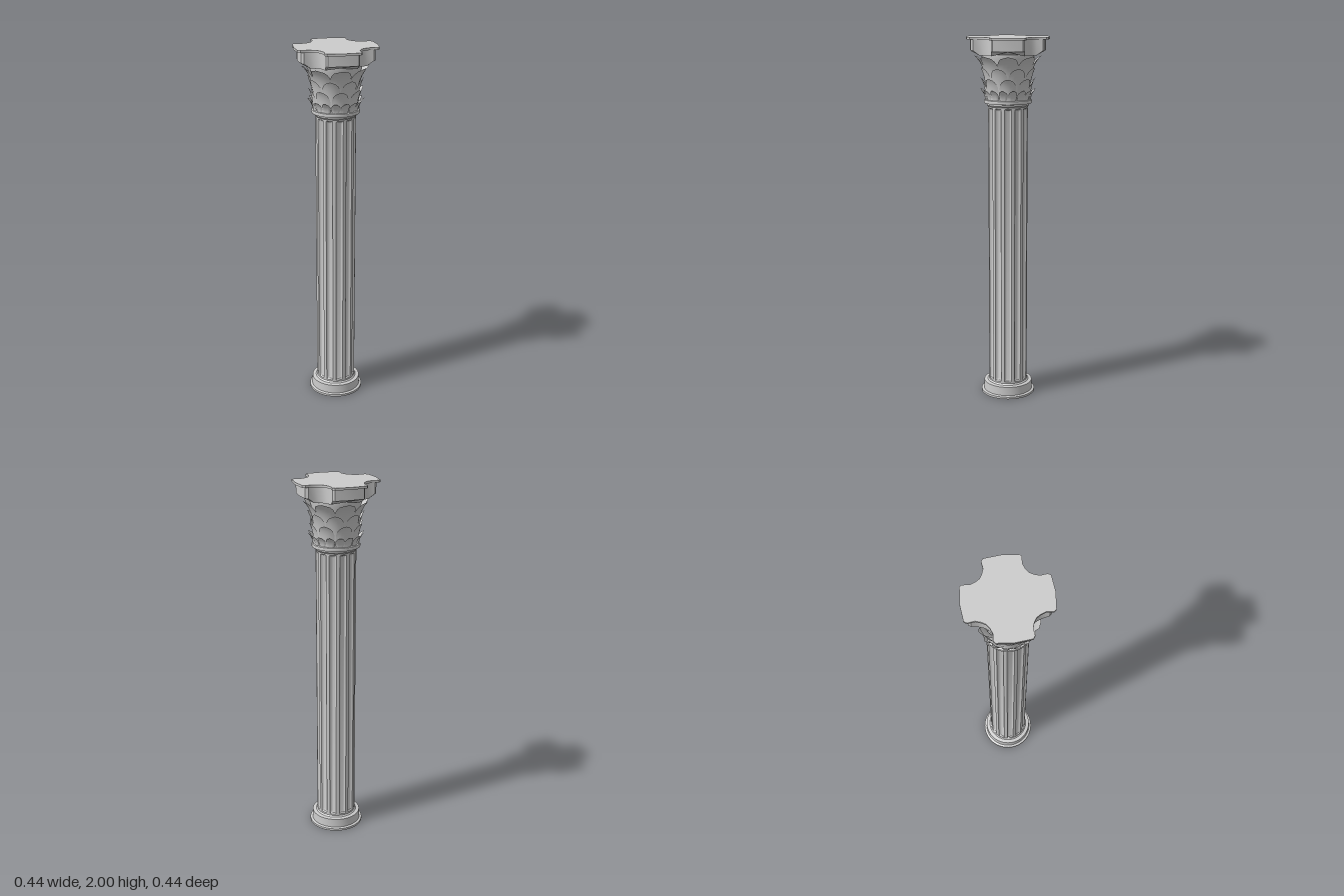
import * as THREE from 'three';
import { toCreasedNormals } from 'three/addons/utils/BufferGeometryUtils.js';

const material = new THREE.MeshStandardMaterial({ color: 0xcccccc, side: THREE.DoubleSide });

function addMesh(parent, name, geometry, crease = 0.6) {
  const mesh = new THREE.Mesh(toCreasedNormals(geometry, crease), material);
  mesh.name = name;
  parent.add(mesh);
  return mesh;
}

const lathe = (pts) =>
  new THREE.LatheGeometry(pts.map(([r, y]) => new THREE.Vector2(r, y)), 48);

// Shaft: a cylinder whose rows are pressed inward along twelve flutes
function shaftGeometry() {
  const flutes = 12, perFlute = 12, radius = 0.108;
  const rows = [[0.06, 0], [0.085, 0], [0.09, 0.65], [0.102, 1],
    [1.608, 1], [1.62, 0.65], [1.625, 0], [1.632, 0]];
  const n = flutes * perFlute;
  const geometry = new THREE.CylinderGeometry(1, 1, 1, n, rows.length - 1, true);
  const pos = geometry.attributes.position;
  for (let i = 0; i < pos.count; i++) {
    const row = rows.length - 1 - Math.floor(i / (n + 1));
    const col = i % (n + 1);
    const [y, depth] = rows[row];
    let t = (col % perFlute) / perFlute;
    if (t > 0.5) t -= 1;
    const s = Math.min(1, Math.abs(t) * 3);
    const r = radius - 0.013 * depth * Math.sqrt(1 - s * s);
    const a = (col / n) * Math.PI * 2;
    pos.setXYZ(i, r * Math.sin(a), y, r * Math.cos(a));
  }
  return geometry;
}

// Leaf: a curved sheet that hugs the bell, then curls outward to a tip
function leafGeometry({ y0, y1, r0, r1, half, curl, blunt }) {
  const geometry = new THREE.PlaneGeometry(2, 1, 6, 10);
  const pos = geometry.attributes.position;
  for (let i = 0; i < pos.count; i++) {
    const u = pos.getX(i), v = pos.getY(i) + 0.5;
    const taper = v < 0.45 ? 0.8 + 0.2 * Math.sin((v / 0.45) * Math.PI / 2)
      : Math.pow(Math.max(0, 1 - Math.pow((v - 0.45) / 0.55, 2)), blunt);
    const r = r0 + (r1 - r0) * (0.25 * v + 0.75 * Math.pow(v, curl)) + 0.006 * (1 - u * u) * (1 - v);
    const a = u * half * taper;
    pos.setXYZ(i, r * Math.sin(a), y0 + (y1 - y0) * (1 - Math.pow(1 - v, 1.15)), r * Math.cos(a));
  }
  return geometry;
}

function leafRow(parent, name, count, offset, options) {
  const row = new THREE.Group();
  row.name = name;
  for (let i = 0; i < count; i++) {
    const leaf = addMesh(row, 'leaf', leafGeometry(options), 1.0);
    leaf.rotation.y = ((i + offset) / count) * Math.PI * 2;
  }
  parent.add(row);
}

// Abacus outline: one arm with its concave corner, turned four times
function crossShape(scale) {
  const arm = [[0.222, 0], [0.215, 0.086], [0.2, 0.096], [0.163, 0.092],
    [0.135, 0.102], [0.115, 0.115], [0.102, 0.135], [0.092, 0.163], [0.096, 0.2], [0.086, 0.212]];
  const pts = [];
  for (let k = 0; k < 4; k++) {
    const c = Math.round(Math.cos(k * Math.PI / 2)), s = Math.round(Math.sin(k * Math.PI / 2));
    for (const [x, y] of arm) pts.push(new THREE.Vector2((x * c - y * s) * scale, (x * s + y * c) * scale));
  }
  return new THREE.Shape(pts);
}

function slab(scale, y0, y1) {
  const geometry = new THREE.ExtrudeGeometry(crossShape(scale), { depth: y1 - y0, bevelEnabled: false });
  geometry.rotateX(-Math.PI / 2);
  geometry.translate(0, y0, 0);
  return geometry;
}

export function createModel() {
  const column = new THREE.Group();
  column.name = 'column';

  // Base
  addMesh(column, 'base', lathe([[0, 0], [0.15, 0], [0.15, 0.012], [0.137, 0.016],
    [0.135, 0.065], [0.115, 0.068], [0.1, 0.085]]));

  addMesh(column, 'shaft', shaftGeometry());

  // Neck ring between shaft and capital
  addMesh(column, 'neckRing', lathe([[0.108, 1.632], [0.114, 1.64], [0.114, 1.648], [0.128, 1.65],
    [0.13, 1.658], [0.128, 1.667], [0.118, 1.67], [0.114, 1.68], [0.1, 1.685]]));

  // Capital: bell with four overlapping rows of leaves
  const capital = new THREE.Group();
  capital.name = 'capital';
  addMesh(capital, 'bell', lathe([[0.1, 1.665], [0.104, 1.72], [0.112, 1.79], [0.122, 1.84],
    [0.138, 1.89], [0.138, 1.912], [0, 1.912]]));
  leafRow(capital, 'topLeaves', 8, 0,
    { y0: 1.74, y1: 1.902, r0: 0.112, r1: 0.182, half: 0.42, curl: 2.4, blunt: 0.5 });
  leafRow(capital, 'upperLeaves', 8, 0.5,
    { y0: 1.69, y1: 1.84, r0: 0.113, r1: 0.15, half: 0.4, curl: 2.2, blunt: 0.65 });
  leafRow(capital, 'middleLeaves', 8, 0,
    { y0: 1.67, y1: 1.785, r0: 0.115, r1: 0.148, half: 0.36, curl: 2.4, blunt: 0.7 });
  leafRow(capital, 'lowerLeaves', 16, 0.5,
    { y0: 1.665, y1: 1.725, r0: 0.117, r1: 0.151, half: 0.19, curl: 2, blunt: 0.8 });
  column.add(capital);

  // Abacus: block with rising arm undersides, below a thin wider slab
  const block = slab(0.91, 1.905, 1.988);
  const pos = block.attributes.position;
  for (let i = 0; i < pos.count; i++) {
    const reach = Math.hypot(pos.getX(i), pos.getZ(i));
    if (pos.getY(i) < 1.95 && reach > 0.175) pos.setY(i, 1.93);
  }
  addMesh(column, 'abacusBlock', block);
  addMesh(column, 'abacusSlab', slab(1, 1.988, 2));
  return column;
}
